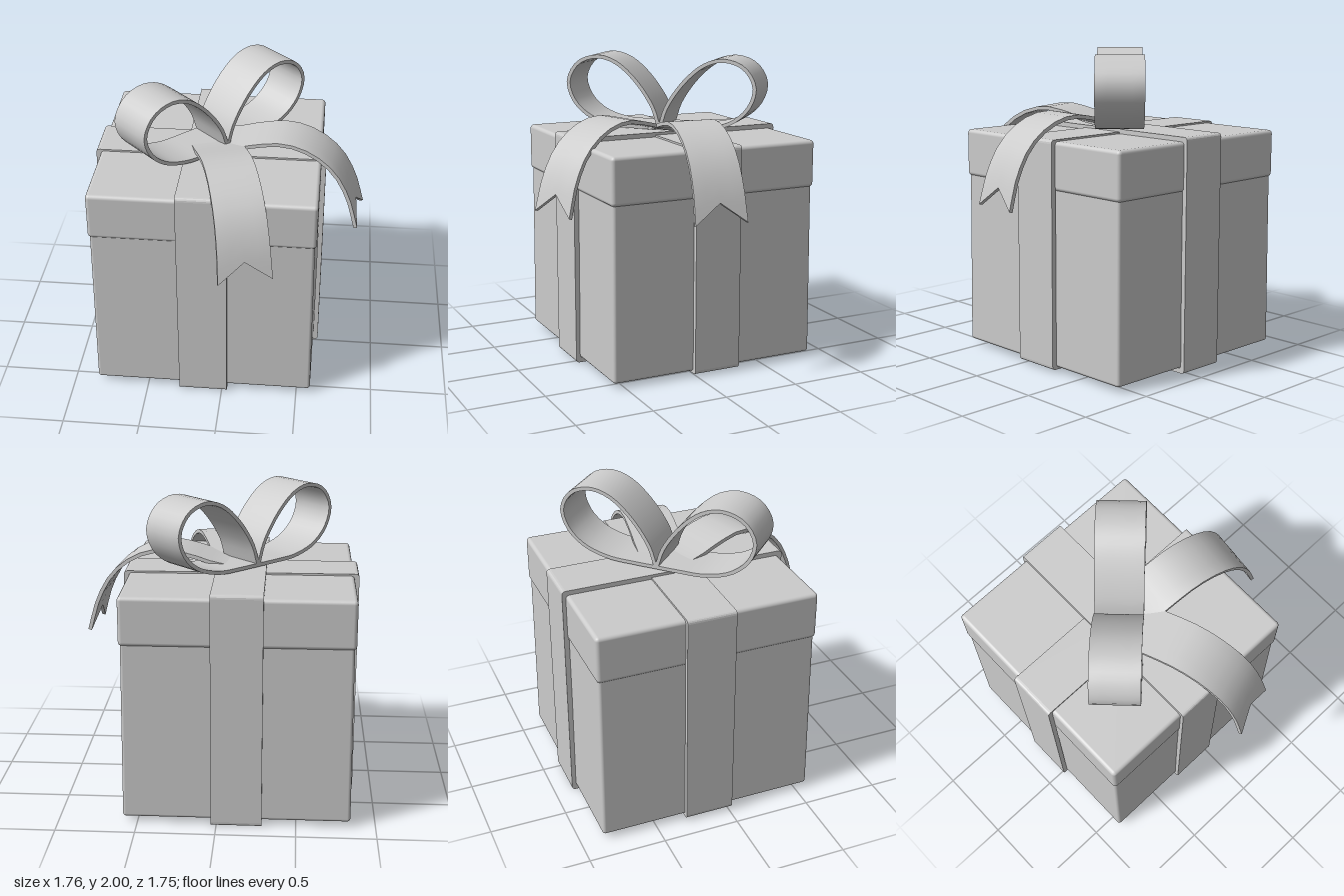
import * as THREE from 'three';
import { RoundedBoxGeometry } from 'three/addons/geometries/RoundedBoxGeometry.js';

const CX = -0.125, CZ = -0.14; // centre of the box in plan
const material = new THREE.MeshStandardMaterial({ color: 0xcccccc });

function addMesh(parent, name, geometry, x, y, z) {
  const mesh = new THREE.Mesh(geometry, material);
  mesh.name = name;
  mesh.position.set(x, y, z);
  parent.add(mesh);
  return mesh;
}

// Rectangle outline with small rounded corners
function roundedRect(target, hw, y0, y1, r) {
  target.moveTo(-hw + r, y0);
  target.lineTo(hw - r, y0);
  target.quadraticCurveTo(hw, y0, hw, y0 + r);
  target.lineTo(hw, y1 - r);
  target.quadraticCurveTo(hw, y1, hw - r, y1);
  target.lineTo(-hw + r, y1);
  target.quadraticCurveTo(-hw, y1, -hw, y1 - r);
  target.lineTo(-hw, y0 + r);
  target.quadraticCurveTo(-hw, y0, -hw + r, y0);
  return target;
}

// Ribbon wrapped around the box as a closed band
function bandGeometry(half, y0, y1, width) {
  const t = 0.032;
  const shape = roundedRect(new THREE.Shape(), half, y0, y1, 0.025);
  shape.holes.push(roundedRect(new THREE.Path(), half - t, y0 + t, y1 - t, 0.01));
  const geometry = new THREE.ExtrudeGeometry(shape, { depth: width, bevelEnabled: false, curveSegments: 4 });
  return geometry.translate(0, 0, -width / 2);
}

// Thin strip swept along [distance, height] points, with optional swallowtail end
function stripGeometry(points, segments, width, thickness, notch = 0, flare = 0) {
  const curve = new THREE.CatmullRomCurve3(points.map(([s, y]) => new THREE.Vector3(0, y, s)), false, 'centripetal');
  const geometry = new THREE.BoxGeometry(2, thickness, 1, 4, 1, segments);
  const pos = geometry.attributes.position;
  for (let i = 0; i < pos.count; i++) {
    const side = pos.getX(i), offset = pos.getY(i);
    const u0 = THREE.MathUtils.clamp(pos.getZ(i) + 0.5, 0, 1);
    const u = u0 - notch * (1 - Math.abs(side)) * u0 ** 6;
    const p = curve.getPointAt(u), t = curve.getTangentAt(u);
    pos.setXYZ(i, side * (width / 2 + flare * u0 ** 3), p.y + t.z * offset, p.z - t.y * offset);
  }
  geometry.computeVertexNormals();
  return geometry;
}

export function createModel() {
  const model = new THREE.Group();
  model.name = 'giftBox';

  // Box body, narrowing slightly towards the top
  const body = new RoundedBoxGeometry(1.434, 1.2, 1.434, 3, 0.02);
  const pos = body.attributes.position;
  for (let i = 0; i < pos.count; i++) {
    const k = 1 - 0.012 * (pos.getY(i) / 1.2 + 0.5);
    pos.setX(i, pos.getX(i) * k);
    pos.setZ(i, pos.getZ(i) * k);
  }
  addMesh(model, 'boxBody', body, CX, 0.635, CZ);
  addMesh(model, 'lid', new RoundedBoxGeometry(1.44, 0.31, 1.44, 3, 0.025), CX, 1.325, CZ);

  // Two crossing ribbon bands
  const crossBand = addMesh(model, 'frontToBackBand', bandGeometry(0.744, 0, 1.51, 0.32), CX, 0, CZ);
  crossBand.rotation.y = Math.PI / 2;
  addMesh(model, 'sideToSideBand', bandGeometry(0.75, 0.02, 1.492, 0.32), CX, 0, CZ);

  // Bow: two teardrop loops on a diagonal
  const loopPoints = [
    [0, 1.53], [0.15, 1.53], [0.33, 1.537], [0.5, 1.59], [0.61, 1.69], [0.648, 1.82],
    [0.58, 1.94], [0.45, 1.988], [0.32, 1.96], [0.18, 1.85], [0.05, 1.67], [0.005, 1.54],
  ];
  const loop = stripGeometry(loopPoints, 40, 0.31, 0.024);
  [['leftBowLoop', 135], ['rightBowLoop', -45]].forEach(([name, degrees]) => {
    addMesh(model, name, loop, CX, 0, CZ).rotation.y = THREE.MathUtils.degToRad(degrees);
  });

  // Two hanging tails with notched ends
  const tailPoints = [
    [0, 1.52], [0.15, 1.54], [0.33, 1.59], [0.5, 1.612], [0.67, 1.565],
    [0.82, 1.45], [0.92, 1.28], [0.985, 1.06],
  ];
  const tail = stripGeometry(tailPoints, 14, 0.315, 0.024, 0.1, 0.015);
  [['frontTail', 17.4], ['sideTail', 83.7]].forEach(([name, degrees]) => {
    addMesh(model, name, tail, CX, 0, CZ).rotation.y = THREE.MathUtils.degToRad(degrees);
  });

  return model;
}
